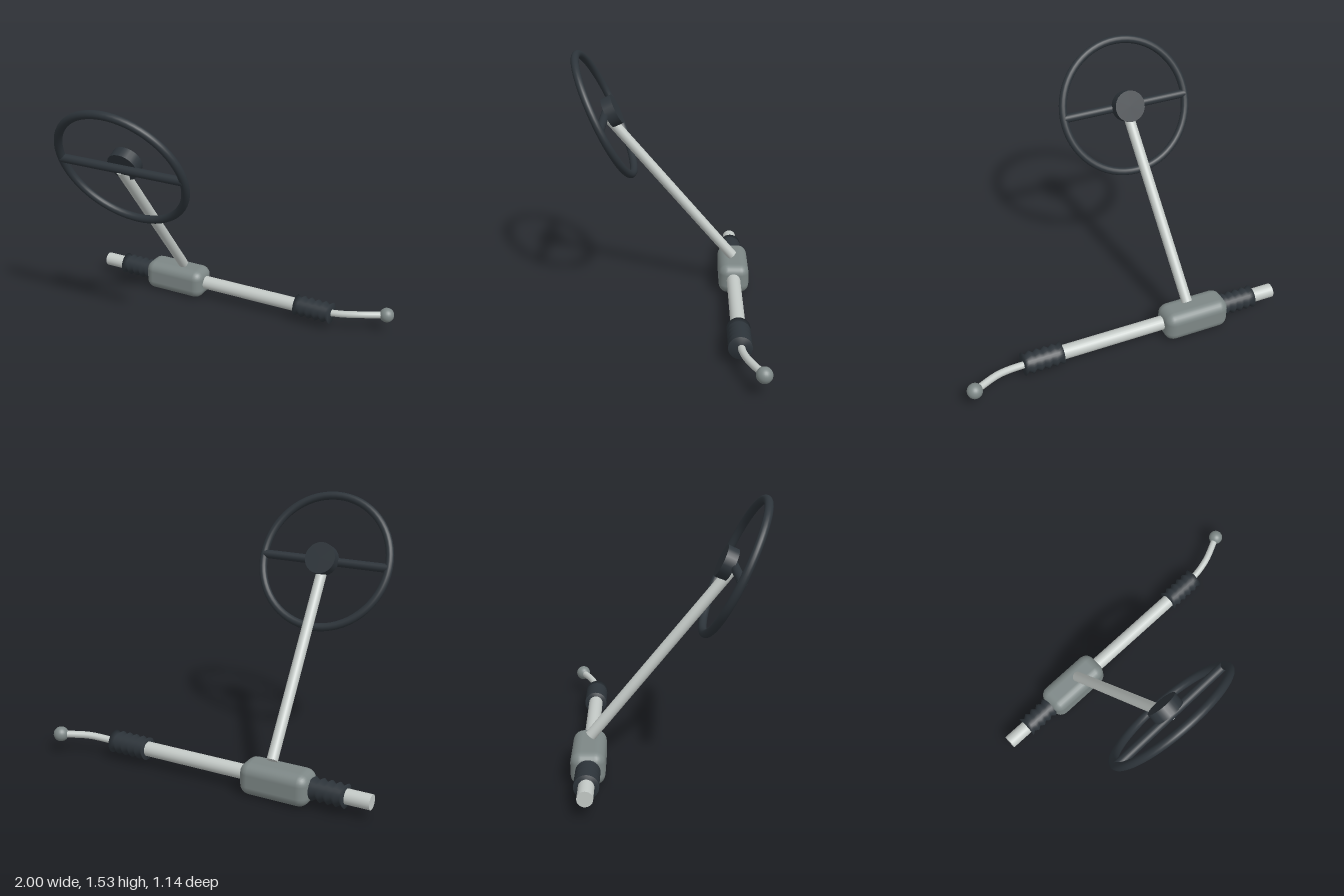
import * as THREE from 'three';
import { RoundedBoxGeometry } from 'three/addons/geometries/RoundedBoxGeometry.js';

const V = (x, y, z) => new THREE.Vector3(x, y, z);
const RACK_Y = 0.1, RACK_Z = -0.42;

export function createModel() {
  const group = new THREE.Group();
  const material = (name, color) => {
    const m = new THREE.MeshStandardMaterial({ color });
    m.name = name;
    return m;
  };
  const steel = material('light steel', 0xc3c9c6);
  const castMetal = material('cast grey metal', 0x7d8786);
  const rubber = material('dark rubber', 0x2d343a);

  const add = (name, geometry, mat, parent = group) => {
    const mesh = new THREE.Mesh(geometry, mat);
    mesh.name = name;
    parent.add(mesh);
    return mesh;
  };
  // Closed round bar between two points
  const bar = (name, a, b, radius, mat, parent) => {
    const dir = b.clone().sub(a);
    const mesh = add(name, new THREE.CylinderGeometry(radius, radius, dir.length(), 24), mat, parent);
    mesh.position.copy(a).add(b).multiplyScalar(0.5);
    mesh.quaternion.setFromUnitVectors(V(0, 1, 0), dir.normalize());
    return mesh;
  };

  // Rack tube and gear housing
  bar('rackTube', V(-1, RACK_Y, RACK_Z), V(0.6, RACK_Y, RACK_Z), 0.043, steel);
  add('gearHousing', new RoundedBoxGeometry(0.415, 0.19, 0.19, 3, 0.06), castMetal)
    .position.set(-0.453, 0.095, RACK_Z - 0.003);

  // Pleated bellows, one near each end of the rack
  const folds = 5, length = 0.235;
  const profile = [new THREE.Vector2(0, 0)];
  for (let i = 0; i <= folds * 2; i++) {
    profile.push(new THREE.Vector2(i % 2 ? 0.051 : 0.068, (i / (folds * 2)) * length));
  }
  profile.push(new THREE.Vector2(0, length));
  for (const [name, x] of [['rightBellows', -0.857], ['leftBellows', 0.4]]) {
    const bellows = add(name, new THREE.LatheGeometry(profile, 28), rubber);
    bellows.rotation.z = -Math.PI / 2;
    bellows.position.set(x, RACK_Y, RACK_Z);
  }

  // Bent tie rod with ball joint
  const rodPath = new THREE.CatmullRomCurve3([
    V(0.6, 0.097, -0.423), V(0.7, 0.106, -0.433), V(0.8, 0.116, -0.457), V(0.955, 0.12, -0.527),
  ]);
  add('tieRod', new THREE.TubeGeometry(rodPath, 24, 0.021, 14), steel);
  add('ballJoint', new THREE.SphereGeometry(0.045, 24, 16), castMetal).position.set(0.955, 0.12, -0.527);

  // Steering column up to the wheel centre
  const centre = V(-0.351, 1.15, 0.377);
  bar('steeringColumn', V(-0.413, 0.205, -0.415), centre, 0.032, steel);

  // Tilted steering wheel; its local z is the wheel axis
  const wheel = new THREE.Group();
  wheel.name = 'steeringWheel';
  wheel.position.copy(centre);
  wheel.rotation.x = THREE.MathUtils.degToRad(25.2);
  group.add(wheel);
  add('wheelRim', new THREE.TorusGeometry(0.397, 0.024, 16, 64), rubber, wheel);
  bar('wheelSpoke', V(-0.395, 0, 0), V(0.395, 0, 0), 0.026, rubber, wheel);
  bar('wheelHub', V(0, 0, -0.08), V(0, 0, -0.014), 0.094, rubber, wheel);

  return group;
}
